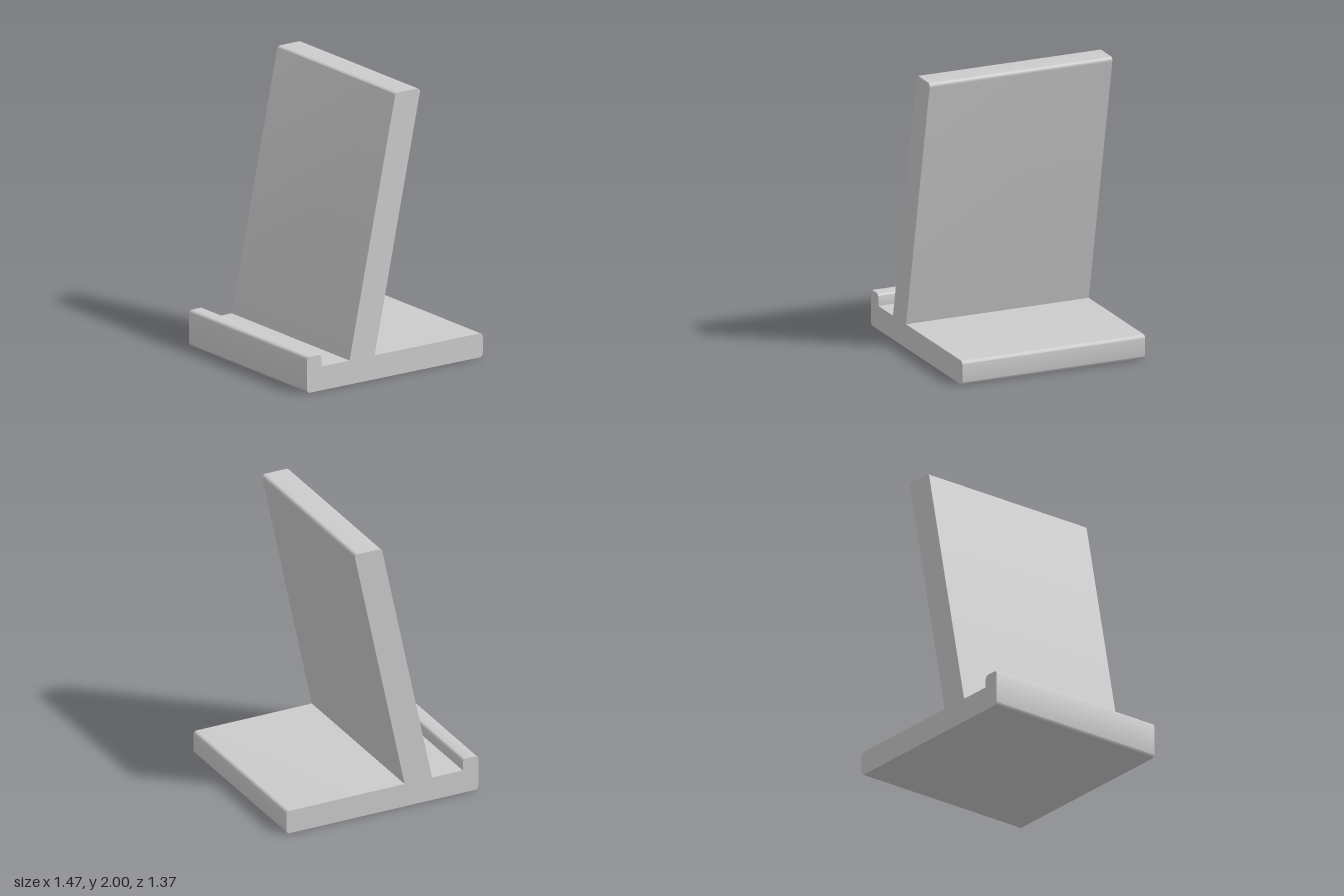
import * as THREE from 'three';
import { toCreasedNormals } from 'three/addons/utils/BufferGeometryUtils.js';

const DEPTH = 1.37;
const R = 0.025; // corner rounding

// Closed outline from [x, y, radius] corners; radius 0 stays sharp
function roundedOutline(corners) {
  const shape = new THREE.Shape();
  const n = corners.length;
  corners.forEach(([x, y, r], i) => {
    const p = new THREE.Vector2(x, y);
    const toward = ([a, b]) => new THREE.Vector2(a, b).sub(p).normalize();
    const u = toward(corners[(i + n - 1) % n]);
    const v = toward(corners[(i + 1) % n]);
    const at = (dir, d) => p.clone().addScaledVector(dir, d);
    const t = r ? r / Math.tan(Math.acos(u.dot(v)) / 2) : 0;
    const a = at(u, t), b = at(v, t);
    if (i === 0) shape.moveTo(a.x, a.y);
    else shape.lineTo(a.x, a.y);
    if (r) {
      const c = at(u, t * 0.45), d = at(v, t * 0.45);
      shape.bezierCurveTo(c.x, c.y, d.x, d.y, b.x, b.y);
    }
  });
  shape.closePath();
  return shape;
}

export function createModel() {
  const group = new THREE.Group();
  group.name = 'deviceStand';

  // Side profile: base, leaning backrest and front lip in one piece
  const profile = roundedOutline([
    [-0.735, 0, R], [0.735, 0, R], [0.735, 0.17, R], // base
    [-0.17, 0.17, 0], [0.215, 2, R], [0.005, 2, R], [-0.38, 0.17, 0], // backrest
    [-0.615, 0.17, 0], [-0.615, 0.255, R], [-0.735, 0.255, R], // lip
  ]);
  const geometry = new THREE.ExtrudeGeometry(profile, {
    depth: DEPTH, bevelEnabled: false, curveSegments: 10,
  });
  geometry.translate(0, 0, -DEPTH / 2);

  const body = new THREE.Mesh(
    toCreasedNormals(geometry, Math.PI / 6),
    new THREE.MeshStandardMaterial({ color: 0xcccccc }),
  );
  body.name = 'standBody';
  group.add(body);
  return group;
}
